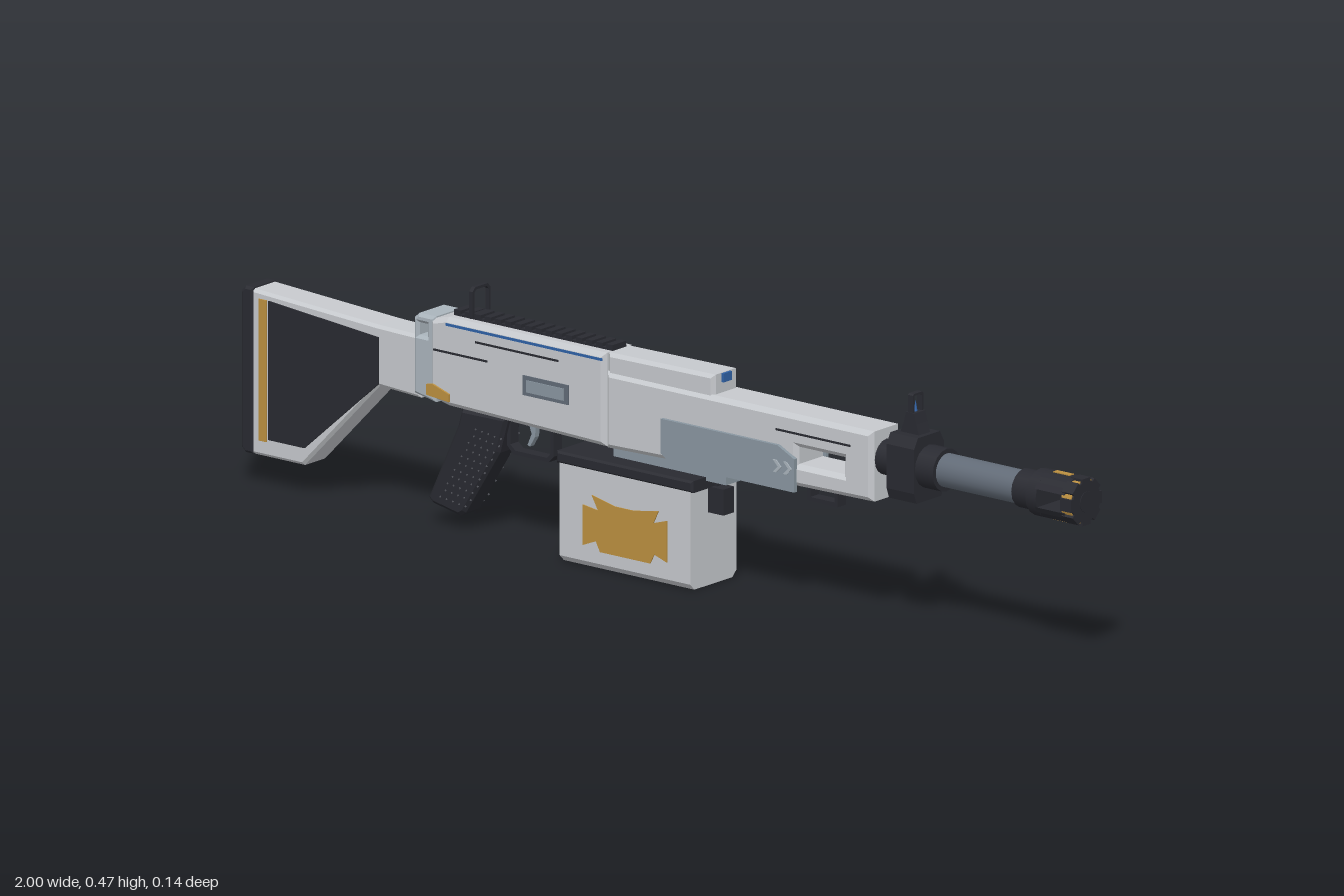
import * as THREE from 'three';

const material = (name, color) => {
  const m = new THREE.MeshStandardMaterial({ color });
  m.name = name;
  return m;
};

export function createModel() {
  const root = new THREE.Group();
  root.name = 'model';
  const light = material('light grey', 0xc6c9cd);
  const pale = material('pale blue grey', 0xaab4bc);
  const steel = material('steel blue grey', 0x8996a0);
  const barrelGrey = material('barrel grey', 0x626b77);
  const dark = material('charcoal', 0x292a31);
  const speck = material('grip grey', 0x55575e);
  const gold = material('gold', 0xbb8f40);
  const blue = material('blue', 0x2f62a6);

  const add = (name, geo, mat) => {
    const mesh = new THREE.Mesh(geo, mat);
    mesh.name = name;
    root.add(mesh);
    return mesh;
  };
  const rect = (x0, x1, y0, y1) => [[x0, y0], [x1, y0], [x1, y1], [x0, y1]];
  const toPath = (pts, Type) => new Type(pts.map(([x, y]) => new THREE.Vector2(x, y)));
  const extrude = (pts, depth, bevel = 0, holes = []) => {
    const shape = toPath(pts, THREE.Shape);
    shape.holes = holes.map((h) => toPath(h, THREE.Path));
    const geo = new THREE.ExtrudeGeometry(shape, {
      depth: depth - 2 * bevel, bevelEnabled: bevel > 0, bevelThickness: bevel,
      bevelSize: bevel, bevelOffset: -bevel, bevelSegments: 1, curveSegments: 6,
    });
    return geo.translate(0, 0, bevel);
  };
  // side profile, centred across z
  const slab = (name, pts, half, mat, bevel = 0, holes = []) =>
    add(name, extrude(pts, 2 * half, bevel, holes).translate(0, 0, -half), mat);
  // thin plate on one side or on both sides, standing from z to z + t
  const plate = (name, pts, z, mat, t = 0.004, sides = [1, -1], holes = []) => sides.forEach((s) =>
    add(name, extrude(pts, t, 0, holes).translate(0, 0, s > 0 ? z : -z - t), mat));
  // cross-section in (z, y), running along x
  const alongX = (name, pts, x0, x1, mat, holes = []) =>
    add(name, extrude(pts, x1 - x0, 0, holes).rotateY(Math.PI / 2).translate(x0, 0, 0), mat);
  const box = (name, x0, x1, y0, y1, z0, z1, mat) =>
    add(name, new THREE.BoxGeometry(x1 - x0, y1 - y0, z1 - z0)
      .translate((x0 + x1) / 2, (y0 + y1) / 2, (z0 + z1) / 2), mat);
  const axisY = 0.32;
  const tube = (name, x0, x1, r, mat, sides = 24, r2 = r) =>
    add(name, new THREE.CylinderGeometry(r2, r, x1 - x0, sides).rotateZ(-Math.PI / 2)
      .translate((x0 + x1) / 2, axisY, 0), mat);

  // Stock with inset panels, stripe and butt pad
  slab('stock', [[-0.975, 0.06], [-0.85, 0.06], [-0.67, 0.245], [-0.57, 0.24], [-0.57, 0.36],
    [-0.67, 0.362], [-0.975, 0.378]], 0.035, light, 0.006);
  slab('buttPad', [[-1, 0.07], [-0.99, 0.06], [-0.97, 0.06], [-0.97, 0.38], [-0.99, 0.38], [-1, 0.37]],
    0.036, dark, 0.005);
  plate('stockPanel', [[-0.932, 0.095], [-0.845, 0.095], [-0.668, 0.25], [-0.668, 0.34], [-0.932, 0.362]],
    0.034, dark);
  plate('stockStripe', rect(-0.955, -0.936, 0.09, 0.362), 0.034, gold);

  // Receiver: rear block, main housing, top cover and front housing
  slab('rearBlock', [[-0.582, 0.25], [-0.53, 0.24], [-0.53, 0.405], [-0.57, 0.405], [-0.582, 0.395]],
    0.041, pale, 0.006, [rect(-0.57, -0.55, 0.363, 0.387)]);
  slab('receiver', [[-0.54, 0.25], [-0.5, 0.24], [-0.12, 0.23], [-0.12, 0.41], [-0.5, 0.41], [-0.54, 0.4]],
    0.044, light, 0.009);
  slab('topCover', [[-0.12, 0.36], [0.135, 0.36], [0.135, 0.413], [-0.12, 0.41]], 0.036, light, 0.007);
  slab('frontHousing', [[-0.12, 0.228], [0.17, 0.235], [0.52, 0.24], [0.52, 0.375], [-0.12, 0.375]],
    0.043, light, 0.009, [rect(0.34, 0.45, 0.28, 0.313)]);
  box('lowerBlock', -0.11, 0.16, 0.205, 0.235, -0.03, 0.03, steel);
  box('topButton', 0.12, 0.14, 0.395, 0.412, -0.012, 0.012, blue);

  // Side panels and painted lines
  plate('sidePanel', [[0.02, 0.245], [0.05, 0.228], [0.34, 0.228], [0.34, 0.292], [0.3, 0.312], [0.02, 0.312]],
    0.042, steel, 0.008);
  [0.29, 0.315].forEach((x) => plate('chevron',
    [[x, 0.26], [x + 0.008, 0.26], [x + 0.02, 0.272], [x + 0.008, 0.284], [x, 0.284], [x + 0.012, 0.272]],
    0.05, pale, 0.002));
  plate('blueLine', rect(-0.5, -0.125, 0.395, 0.4), 0.043, blue, 0.002);
  plate('upperGroove', rect(-0.43, -0.23, 0.374, 0.378), 0.043, dark, 0.002);
  plate('lowerGroove', rect(-0.53, -0.4, 0.342, 0.346), 0.043, dark, 0.002);
  plate('frontGroove', rect(0.29, 0.47, 0.338, 0.342), 0.042, dark, 0.002);
  plate('safetyLever', [[-0.545, 0.255], [-0.49, 0.25], [-0.49, 0.265], [-0.53, 0.278], [-0.545, 0.275]],
    0.043, gold, 0.005);
  plate('portFrame', rect(-0.315, -0.205, 0.296, 0.334), 0.043, barrelGrey, 0.003, [1]);
  plate('portCover', rect(-0.305, -0.215, 0.303, 0.326), 0.045, steel, 0.003, [1]);

  // Charging handle on the back
  plate('handleSlot', rect(-0.42, -0.26, 0.298, 0.314), 0.043, dark, 0.002, [-1]);
  add('handleStem', new THREE.CylinderGeometry(0.009, 0.009, 0.02, 12).rotateX(Math.PI / 2)
    .translate(-0.38, 0.305, -0.05), barrelGrey);
  add('handleKnob', new THREE.CylinderGeometry(0.016, 0.016, 0.013, 16).rotateX(Math.PI / 2)
    .translate(-0.38, 0.305, -0.0625), blue);

  // Feed opening with a stack of cartridges
  plate('feedOpening', rect(-0.115, -0.015, 0.222, 0.35), 0.042, dark, 0.002, [-1]);
  for (let i = 0; i < 6; i++) {
    add('cartridge', new THREE.CylinderGeometry(0.005, 0.009, 0.085, 10).rotateZ(-Math.PI / 2)
      .translate(-0.065, 0.232 + i * 0.021, -0.04), gold);
  }

  // Top rail with teeth
  box('rail', -0.5, -0.12, 0.405, 0.414, -0.02, 0.02, dark);
  for (let i = 0; i < 16; i++) {
    const x = -0.5 + i * 0.0243;
    box('railTooth', x, x + 0.015, 0.414, 0.421, -0.02, 0.02, dark);
  }

  // Rear sight loop
  const loop = (w, y0, y1, c) => [[-w, y0], [w, y0], [w, y1 - c], [w - c, y1], [-w + c, y1], [-w, y1 - c]];
  alongX('rearSight', loop(0.026, 0.412, 0.472, 0.008), -0.459, -0.451, dark, [loop(0.021, 0.42, 0.467, 0.006)]);

  // Barrel, front sight block and collars
  tube('barrel', 0.5, 0.87, 0.032, barrelGrey);
  tube('rearCollar', 0.515, 0.56, 0.034, dark, 16);
  tube('frontCollar', 0.615, 0.665, 0.041, dark, 16);
  alongX('sightBlock', [[-0.036, 0.255], [0.036, 0.255], [0.043, 0.275], [0.043, 0.36], [0.032, 0.38],
    [-0.032, 0.38], [-0.043, 0.36], [-0.043, 0.275]], 0.556, 0.622, dark);
  slab('sightPost', [[0.565, 0.375], [0.613, 0.375], [0.605, 0.4], [0.6, 0.42], [0.58, 0.42], [0.575, 0.4]],
    0.016, dark);
  alongX('frontSightGuard', loop(0.015, 0.415, 0.456, 0.003), 0.584, 0.596, dark, [loop(0.011, 0.419, 0.452, 0.002)]);
  add('frontSightBlade', new THREE.ConeGeometry(0.004, 0.024, 8).translate(0.59, 0.43, 0), blue);

  // Muzzle brake: two curved jaws leave an open slot through the sides
  tube('muzzleNeck', 0.85, 0.9, 0.037, dark, 16);
  tube('muzzleBase', 0.89, 0.915, 0.045, dark, 16);
  [1, -1].forEach((s) => {
    const jaw = [];
    for (let i = 0; i <= 8; i++) {
      const a = 0.4 + (Math.PI - 0.8) * i / 8;
      jaw.push([0.045 * Math.cos(a), axisY + s * 0.045 * Math.sin(a)]);
    }
    alongX('muzzleJaw', jaw, 0.91, 0.98, dark);
    box('muzzleInlay', 0.925, 0.965, axisY + s * 0.043 - 0.003, axisY + s * 0.043 + 0.003, -0.006, 0.006, gold);
  });
  tube('muzzleRing', 0.973, 0.996, 0.0425, gold, 16);
  tube('muzzleCap', 0.975, 1, 0.04, dark, 16);
  tube('muzzleBore', 0.999, 1.001, 0.02, dark, 16);
  for (let i = 0; i < 8; i++) {
    const tooth = box('muzzleTooth', 0.973, 1, 0.034, 0.045, -0.012, 0.012, dark);
    tooth.position.y = axisY;
    tooth.rotation.x = (i * Math.PI) / 4;
  }

  // Sling loop under the front
  slab('slingLoop', rect(0.34, 0.413, 0.205, 0.242), 0.012, dark, 0, [rect(0.348, 0.405, 0.213, 0.232)]);

  // Grip with studs on its sides
  slab('grip', [[-0.56, 0.05], [-0.55, 0.04], [-0.485, 0.027], [-0.472, 0.035], [-0.39, 0.165], [-0.37, 0.235],
    [-0.48, 0.235], [-0.49, 0.2]], 0.026, dark, 0.007);
  for (let row = 0; row < 11; row++) {
    for (let col = 0; col < 5; col++) {
      const x = -0.528 + row * 0.0085 + col * 0.015 + (row % 2) * 0.004;
      const y = 0.057 + row * 0.0145 - col * 0.002;
      plate('gripStud', [[x, y - 0.002], [x + 0.002, y], [x, y + 0.002], [x - 0.002, y]], 0.025, speck, 0.002);
    }
  }

  // Trigger and guard
  slab('triggerGuard', [[-0.38, 0.235], [-0.38, 0.18], [-0.365, 0.165], [-0.28, 0.165], [-0.268, 0.178], [-0.268, 0.235]],
    0.012, dark, 0, [[[-0.372, 0.228], [-0.372, 0.183], [-0.36, 0.173], [-0.284, 0.173], [-0.276, 0.182], [-0.276, 0.228]]]);
  slab('trigger', [[-0.335, 0.235], [-0.315, 0.235], [-0.318, 0.205], [-0.33, 0.185], [-0.336, 0.187], [-0.326, 0.21]],
    0.006, steel);

  // Ammunition box with lid, latch, gold panels and clip
  const c = 0.012;
  alongX('ammoBox', [[-0.067 + c, 0], [0.067 - c, 0], [0.067, c], [0.067, 0.195], [-0.067, 0.195], [-0.067, c]],
    -0.208, 0.105, light);
  slab('ammoLid', rect(-0.215, 0.112, 0.189, 0.212), 0.07, dark, 0.004);
  box('ammoLatch', 0.1, 0.142, 0.14, 0.19, -0.015, 0.015, dark);
  box('latchRib', 0.1, 0.118, 0.19, 0.234, -0.005, 0.005, dark);
  plate('ammoPanel', [[-0.152, 0.042], [-0.12, 0.055], [-0.11, 0.036], [0.01, 0.036], [0.02, 0.055], [0.05, 0.045],
    [0.05, 0.125], [0.018, 0.115], [0.03, 0.14], [-0.03, 0.13], [-0.075, 0.13], [-0.13, 0.142], [-0.115, 0.115],
    [-0.152, 0.12]], 0.066, gold, 0.003);
  plate('ammoClip', rect(-0.105, 0, 0.135, 0.168), 0.066, dark, 0.008, [-1], [rect(-0.093, -0.012, 0.146, 0.157)]);

  root.position.z = 0.003;
  return root;
}
